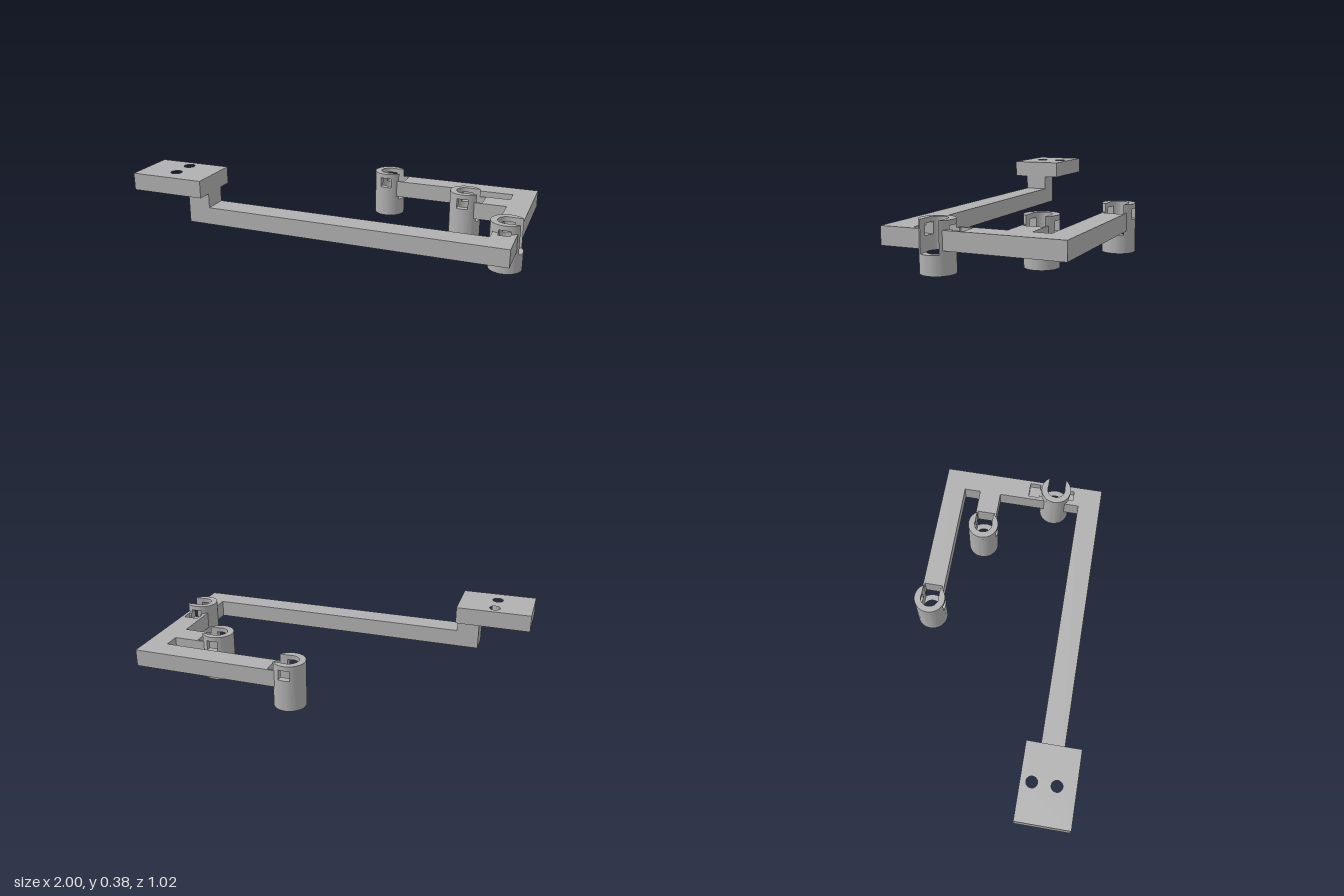
import * as THREE from 'three';
import { toCreasedNormals } from 'three/addons/utils/BufferGeometryUtils.js';

const OUT = 0.085, IN = 0.05;   // socket radii
const SLOT = 0.048, WIN = 0.03; // half widths of the socket's slot and windows

// Points along an arc in the ground plane, as [x, z]
function arc(cx, cz, r, a0, a1, n = 24) {
  return Array.from({ length: n + 1 }, (_, i) => {
    const a = a0 + (a1 - a0) * i / n;
    return [cx + r * Math.cos(a), cz + r * Math.sin(a)];
  });
}

const toPath = pts => pts.map(([x, z]) => new THREE.Vector2(x, -z));

// Upright slab from an [x, z] outline between two heights
function slab(name, material, pts, y0, y1, holes = []) {
  const shape = new THREE.Shape(toPath(pts));
  holes.forEach(h => shape.holes.push(new THREE.Path(toPath(h))));
  let geo = new THREE.ExtrudeGeometry(shape, { depth: y1 - y0, bevelEnabled: false });
  geo.rotateX(-Math.PI / 2);
  geo.translate(0, y0, 0);
  geo = toCreasedNormals(geo, 0.4);
  const mesh = new THREE.Mesh(geo, material);
  mesh.name = name;
  return mesh;
}

// Tubular socket with an open slot toward +x and a window on each z side
function makeSocket(x, z, material) {
  const g = new THREE.Group();
  g.name = 'socket';
  const so = Math.asin(SLOT / OUT), si = Math.asin(SLOT / IN);
  const wo = Math.asin(WIN / OUT), wi = Math.asin(WIN / IN);
  const T = Math.PI * 2, Q = Math.PI / 2;

  g.add(slab('socketBase', material, arc(0, 0, OUT, 0, T, 64).slice(0, -1), 0, 0.095,
    [arc(0, 0, IN, 0, T, 64).slice(0, -1)]));

  // Slotted wall below and above the windows
  const cShape = [...arc(0, 0, OUT, so, T - so, 56), ...arc(0, 0, IN, T - si, si, 48)];
  g.add(slab('slottedWall', material, cShape, 0.095, 0.17));
  g.add(slab('slottedRim', material, cShape, 0.225, 0.25));

  // Wall sections between the windows
  g.add(slab('backWall', material,
    [...arc(0, 0, OUT, Q + wo, 3 * Q - wo, 32), ...arc(0, 0, IN, 3 * Q - wi, Q + wi, 24)], 0.17, 0.225));
  for (const s of [1, -1]) {
    g.add(slab('sidePillar', material,
      [...arc(0, 0, OUT, s * so, s * (Q - wo), 10), [WIN, s * SLOT]], 0.17, 0.225));
  }
  g.position.set(x, 0, z);
  return g;
}

// Forked beam end that meets a socket at (x, z), from its -z side to its +z side
function fork(x, z) {
  return [
    [x + 0.06, z - 0.06], [x + 0.0688, z - 0.05], [x + 0.1, z - 0.05],
    [x + 0.1, z + 0.05], [x + 0.0688, z + 0.05], [x + 0.06, z + 0.06],
  ];
}

export function createModel() {
  const model = new THREE.Group();
  model.name = 'bracket';
  const grey = new THREE.MeshStandardMaterial({ color: 0xb0b0b0 });
  grey.name = 'grey';

  // Sockets
  const A = [0.12, -0.425], B = [0.62, -0.215], C = [0.912, 0.165];
  for (const [x, z] of [A, B, C]) model.add(makeSocket(x, z, grey));

  // Angles where the corner socket meets the side beam and its channels
  const Q = Math.PI / 2, w = Math.asin(0.06 / OUT), c = Math.asin(WIN / OUT);
  const [cx, cz] = C, x0 = cx - 0.06, x1 = cx + 0.06;
  const yLow = 0.115, yMid = 0.17, yTop = 0.207;

  // Long front beam with a short stub to the corner socket
  const front = contact => [[-0.72, 0.305], [x0, 0.305], ...contact, [x1, 0.43], [-0.72, 0.43]];
  model.add(slab('frontBeam', grey, front(arc(cx, cz, OUT, Q + w, Q - w)), yLow, yMid));
  model.add(slab('frontBeamTop', grey, front([
    ...arc(cx, cz, OUT, Q + w, Q + c, 6), [cx - WIN, 0.27], [cx + WIN, 0.27],
    ...arc(cx, cz, OUT, Q - c, Q - w, 6)]), yMid, yTop));

  // Side beam with two fingers holding the other sockets
  const side = contact => [
    ...fork(...A), [x0, -0.365], [x0, -0.275], ...fork(...B), [x0, -0.155],
    ...contact, [x1, -0.485]];
  model.add(slab('sideBeam', grey, side(arc(cx, cz, OUT, -Q - w, -Q + w)), yLow, yMid));
  model.add(slab('sideBeamTop', grey, side([
    ...arc(cx, cz, OUT, -Q - w, -Q - c, 6),
    [cx - WIN, 0.07], [cx - 0.042, 0.07], [cx - 0.042, 0.01],
    [cx + 0.042, 0.01], [cx + 0.042, 0.07], [cx + WIN, 0.07],
    ...arc(cx, cz, OUT, -Q + c, -Q + w, 6)]), yMid, yTop));

  // Post and drilled mounting plate
  const post = new THREE.Mesh(new THREE.BoxGeometry(0.12, 0.08, 0.125), grey);
  post.name = 'post';
  post.position.set(-0.66, 0.245, 0.3675);
  model.add(post);
  const holes = [0.285, 0.41].map(z => arc(-0.8, z, 0.029, 0, Math.PI * 2, 32).slice(0, -1));
  model.add(slab('mountingPlate', grey,
    [[-1, 0.226], [-0.6, 0.226], [-0.6, 0.508], [-1, 0.508]], 0.284, 0.375, holes));

  return model;
}
